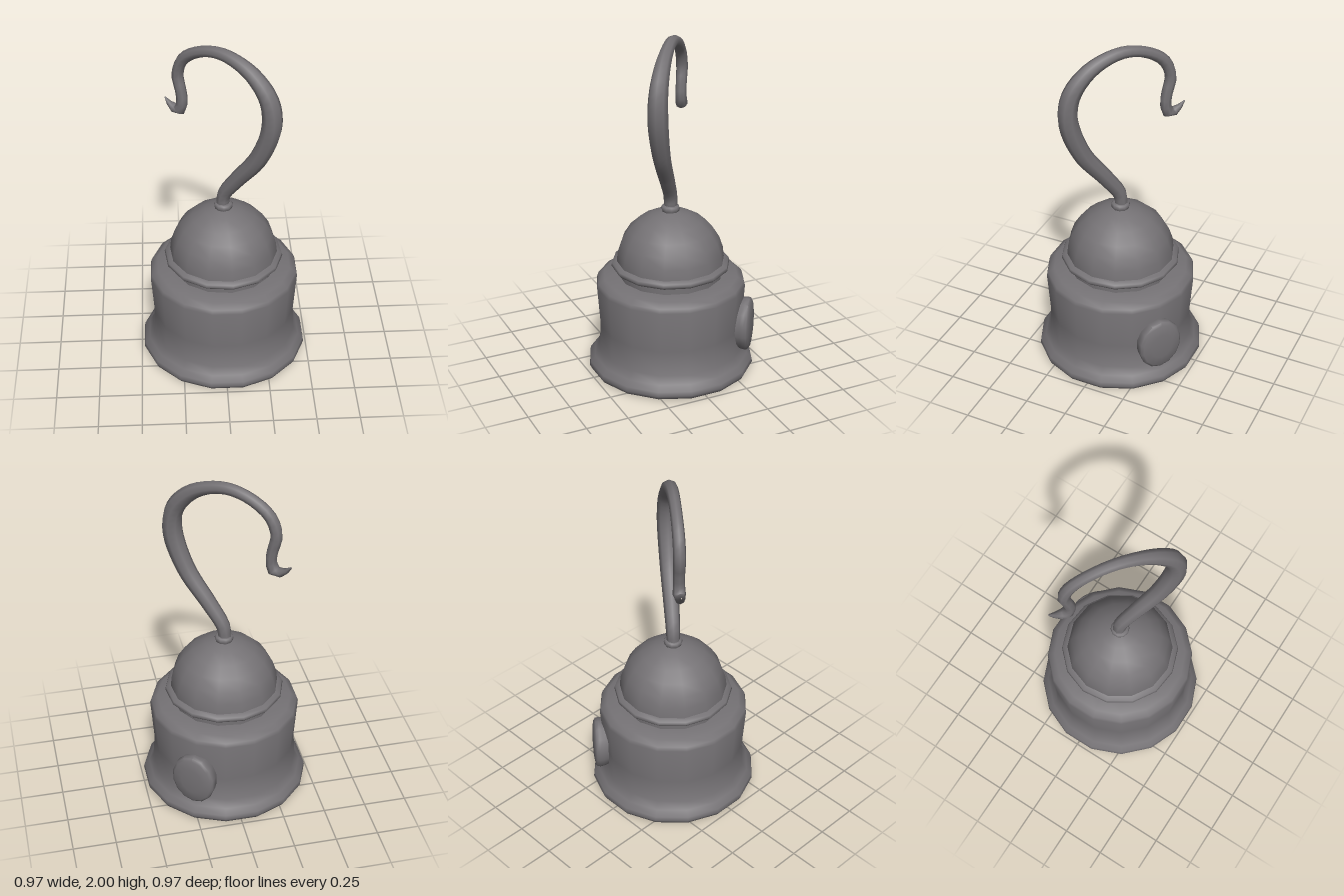
import * as THREE from 'three';
import { toCreasedNormals } from 'three/addons/utils/BufferGeometryUtils.js';

const material = new THREE.MeshStandardMaterial({ color: 0x757275 });

// Revolve a [radius, height] profile (bottom to top on the outside)
function turned(name, profile, sides, phase) {
  const points = profile.map(([r, y]) => new THREE.Vector2(r, y));
  const geometry = new THREE.LatheGeometry(points, sides, phase);
  const mesh = new THREE.Mesh(toCreasedNormals(geometry, 1.1), material);
  mesh.name = name;
  return mesh;
}

// Round tube with a radius that varies along the path; stations are [u, y, radius]
function taperedTube(name, stations, segments, sides) {
  const curve = new THREE.CatmullRomCurve3(stations.map(([u, y]) => new THREE.Vector3(u, y, 0)));
  const radii = new THREE.CatmullRomCurve3(stations.map(([u, y, r]) => new THREE.Vector3(u, y, r)));
  const geometry = new THREE.TubeGeometry(curve, segments, 1, sides);
  const position = geometry.attributes.position;
  const v = new THREE.Vector3();
  for (let i = 0; i <= segments; i++) {
    const t = curve.getUtoTmapping(i / segments);
    const centre = curve.getPoint(t);
    const radius = Math.max(radii.getPoint(t).z, 0.002);
    for (let j = 0; j <= sides; j++) {
      const k = i * (sides + 1) + j;
      v.fromBufferAttribute(position, k).sub(centre).multiplyScalar(radius).add(centre);
      position.setXYZ(k, v.x, v.y, v.z);
    }
  }
  const mesh = new THREE.Mesh(geometry, material);
  mesh.name = name;
  return mesh;
}

export function createModel() {
  const model = new THREE.Group();
  model.name = 'hookHand';

  // Hollow cuff, open underneath, with a rounded flared foot
  model.add(turned('cuff', [
    [0, 0.33], [0.365, 0.33], [0.385, 0.14], [0.42, 0.05], [0.432, 0.015],
    [0.455, 0], [0.482, 0.008], [0.493, 0.03], [0.488, 0.055], [0.458, 0.085], [0.43, 0.13],
    [0.422, 0.28], [0.44, 0.53], [0.432, 0.555], [0.395, 0.58], [0.29, 0.585],
  ], 16, Math.PI / 16));

  // Domed cap with a neck and a rounded flange
  model.add(turned('dome', [
    [0.305, 0.57], [0.305, 0.622], [0.335, 0.632], [0.348, 0.648], [0.343, 0.664], [0.315, 0.674],
    [0.308, 0.735], [0.286, 0.8], [0.245, 0.865], [0.185, 0.92], [0.11, 0.96], [0.04, 0.98], [0, 0.982],
  ], 14, 0.117));

  // Small ring where the hook enters the dome
  model.add(turned('collar', [
    [0.045, 0.965], [0.052, 0.983], [0.055, 0.995], [0.05, 1.008], [0.036, 1.012], [0, 1.012],
  ], 10, 0));

  // Hook, drawn in its own plane and then turned diagonally
  const hook = taperedTube('hook', [
    [-0.005, 0.99, 0.038], [0.005, 1.07, 0.041], [0.092, 1.2, 0.046], [0.238, 1.4, 0.053],
    [0.318, 1.63, 0.058], [0.297, 1.78, 0.053], [0.2, 1.893, 0.045], [0.08, 1.951, 0.038],
    [-0.04, 1.966, 0.034], [-0.17, 1.93, 0.033], [-0.272, 1.855, 0.034], [-0.311, 1.75, 0.034],
    [-0.29, 1.65, 0.032], [-0.283, 1.575, 0.033], [-0.306, 1.524, 0.035], [-0.352, 1.53, 0.024],
    [-0.405, 1.575, 0.003],
  ], 48, 8);
  hook.rotation.y = -0.66;
  model.add(hook);

  // Oval button on the back of the cuff
  const button = turned('button', [
    [0.92, -0.05], [0.98, -0.02], [1, 0], [0.98, 0.018], [0.88, 0.028], [0.5, 0.036], [0, 0.038],
  ], 14, 0);
  button.geometry.rotateX(Math.PI / 2);
  button.geometry.scale(0.133, 0.163, 1);
  button.geometry = toCreasedNormals(button.geometry, 0.9);
  button.position.set(0.26, 0.288, -0.37);
  button.rotation.y = Math.atan2(0.61, -0.79);
  model.add(button);

  return model;
}
